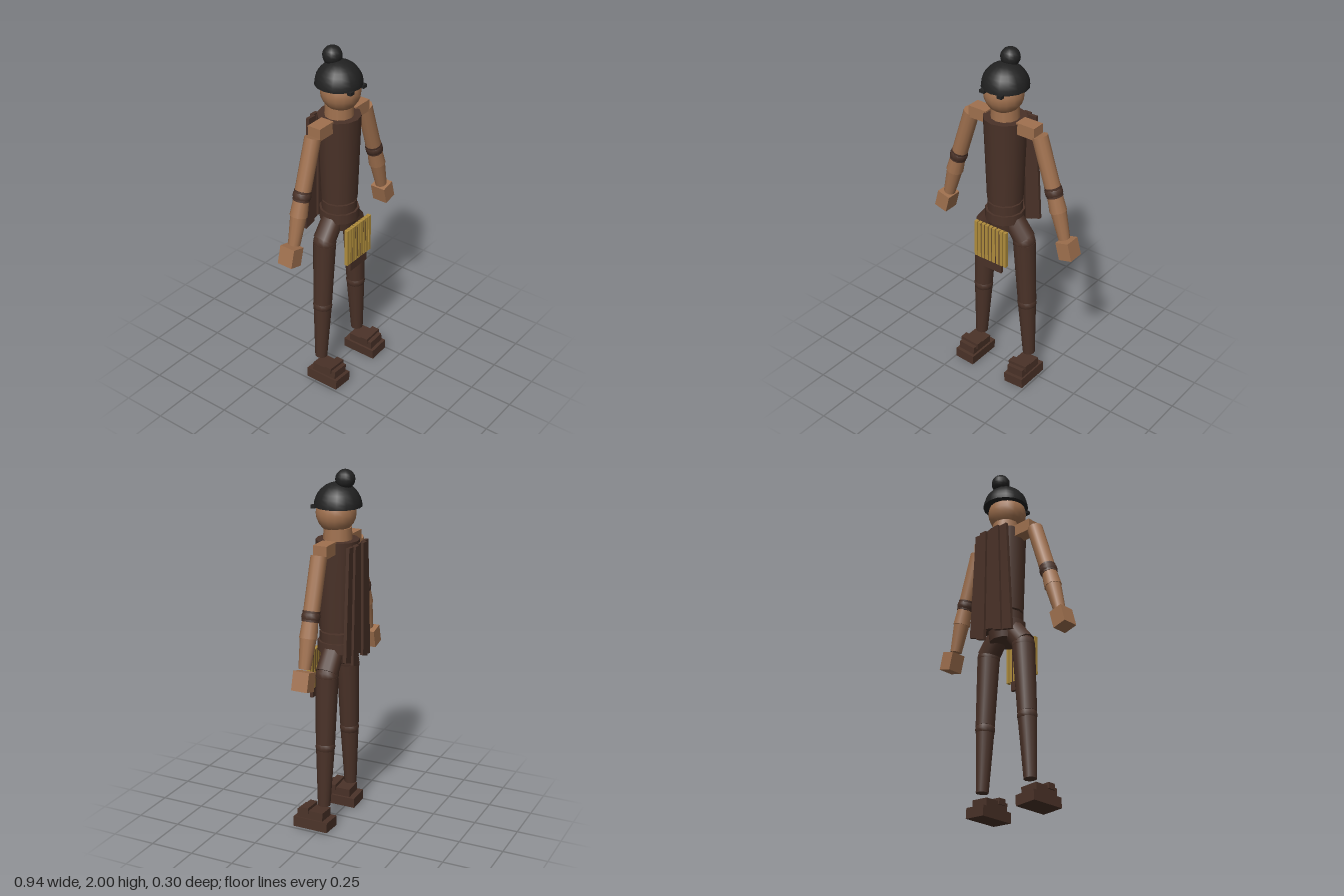
import * as THREE from 'three';

const paint = (color) => new THREE.MeshStandardMaterial({ color });
const skin = paint(0xa0714f);
const leather = paint(0x4a3228);
const wool = paint(0x212121);
const gold = paint(0xb08d3c);
const Z = -0.01; // depth of the body axis
const UP = new THREE.Vector3(0, 1, 0);

export function createModel() {
  const model = new THREE.Group();
  model.name = 'figure';

  const add = (name, geometry, material, x = 0, y = 0, z = Z, tilt = 0) => {
    const mesh = new THREE.Mesh(geometry, material);
    mesh.name = name;
    mesh.position.set(x, y, z);
    mesh.rotation.z = tilt;
    model.add(mesh);
    return mesh;
  };
  const box = (name, material, w, h, d, x, y, z, tilt) =>
    add(name, new THREE.BoxGeometry(w, h, d), material, x, y, z, tilt);
  // Upright tapered section between two heights
  const section = (name, material, y0, y1, r0, r1) =>
    add(name, new THREE.CylinderGeometry(r1, r0, y1 - y0, 12), material, 0, (y0 + y1) / 2);
  // Tapered cylinder from point a to point b, each [x, y]
  const limb = (name, material, a, b, ra, rb) => {
    const from = new THREE.Vector3(a[0], a[1], Z);
    const to = new THREE.Vector3(b[0], b[1], Z);
    const mesh = add(name, new THREE.CylinderGeometry(rb, ra, from.distanceTo(to), 12), material);
    mesh.position.copy(from).lerp(to, 0.5);
    mesh.quaternion.setFromUnitVectors(UP, to.sub(from).normalize());
    return mesh;
  };

  // Head, neck and bobble hat
  add('head', new THREE.SphereGeometry(0.108, 16, 12), skin, 0, 1.765, 0);
  section('neck', skin, 1.6, 1.69, 0.08, 0.075);
  add('hat', new THREE.SphereGeometry(0.128, 16, 8, 0, Math.PI * 2, 0, Math.PI / 2), wool, 0, 1.802, -0.012);
  const brim = add('hatUnderside', new THREE.CircleGeometry(0.128, 16), wool, 0, 1.802, -0.012);
  brim.rotation.x = Math.PI / 2;
  add('hatBobble', new THREE.SphereGeometry(0.053, 12, 10), wool, 0, 1.947, -0.053);

  // Trunk
  section('torso', leather, 1.127, 1.625, 0.1, 0.118);
  section('waist', leather, 1.05, 1.117, 0.098, 0.098);
  section('belt', leather, 1.01, 1.065, 0.112, 0.11);
  section('pelvis', leather, 0.955, 1.02, 0.09, 0.1);

  // Cloak of fanned strips, the inner pair raised behind the rest
  const strips = [
    [-0.105, 0.055, 0.66, -0.125], [-0.055, 0.045, 0.65, -0.139], [0, 0.075, 0.62, -0.125],
    [0.055, 0.045, 0.67, -0.139], [0.105, 0.055, 0.64, -0.125],
  ];
  for (const [x, w, h, z] of strips) {
    const shape = new THREE.Shape();
    shape.moveTo(-w / 2, 0);
    shape.lineTo(-w * 0.65, -h);
    shape.lineTo(w * 0.65, -h + 0.02);
    shape.lineTo(w / 2, 0);
    const geometry = new THREE.ExtrudeGeometry(shape, { depth: 0.018, bevelEnabled: false });
    geometry.translate(0, 0, -0.009);
    add('cloakStrip', geometry, leather, x * 0.87, 1.61, z, x * 0.42);
  }

  // Front cloth with a fringe of gold slats
  box('frontCloth', leather, 0.148, 0.27, 0.018, 0, 0.862, 0.115);
  for (let i = -4; i <= 4; i++) {
    box('fringeSlat', gold, 0.018, 0.222, 0.022, i * 0.0245, 0.891, 0.116);
  }

  for (const s of [-1, 1]) {
    box('eye', wool, 0.03, 0.018, 0.024, s * 0.055, 1.799, 0.104);

    // Arm
    box('shoulder', skin, 0.115, 0.068, 0.078, s * 0.156, 1.6, Z);
    limb('upperArm', skin, [s * 0.222, 1.583], [s * 0.316, 1.29], 0.044, 0.044);
    limb('elbowBand', leather, [s * 0.31, 1.312], [s * 0.326, 1.258], 0.046, 0.046);
    add('elbow', new THREE.SphereGeometry(0.05, 12, 8), leather, s * 0.318, 1.284);
    limb('forearm', skin, [s * 0.325, 1.265], [s * 0.35, 1.175], 0.042, 0.048);
    limb('lowerForearm', skin, [s * 0.347, 1.19], [s * 0.392, 1.02], 0.045, 0.033);
    box('hand', skin, 0.081, 0.103, 0.092, s * 0.417, 0.961, -0.015, s * 0.26);

    // Leg
    limb('hip', leather, [s * 0.05, 1.02], [s * 0.135, 0.91], 0.06, 0.062);
    add('hipJoint', new THREE.SphereGeometry(0.064, 12, 8), leather, s * 0.13, 0.9);
    limb('thigh', leather, [s * 0.132, 0.89], [s * 0.154, 0.51], 0.063, 0.053);
    add('knee', new THREE.SphereGeometry(0.055, 12, 8), leather, s * 0.154, 0.49);
    limb('shin', leather, [s * 0.154, 0.49], [s * 0.172, 0.142], 0.052, 0.035);

    // Shoe, leaning slightly outward
    const lean = s * 0.06;
    box('shoeSole', leather, 0.126, 0.058, 0.208, s * 0.178, 0.033, 0.045, lean);
    box('shoeUpper', leather, 0.104, 0.05, 0.155, s * 0.176, 0.084, 0.052, lean);
    box('shoeStrap', leather, 0.12, 0.034, 0.046, s * 0.175, 0.109, 0.083, lean);
  }
  return model;
}
